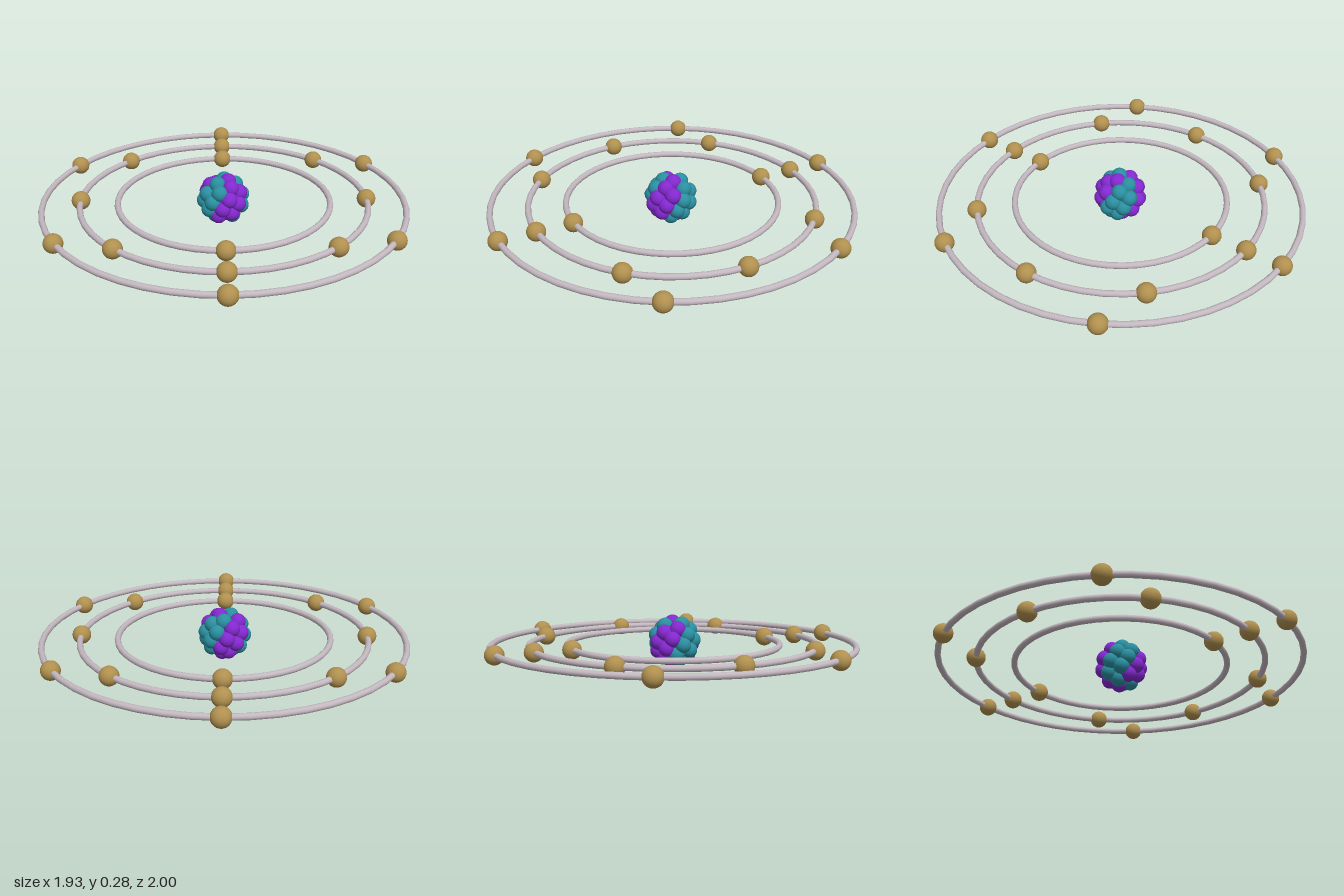
import * as THREE from 'three';

const material = (color) => new THREE.MeshStandardMaterial({ color });

export function createModel() {
  const model = new THREE.Group();
  model.name = 'atomModel';
  const ringMat = material(0xc4b8c0);
  const electronMat = material(0xb0904f);
  const nucleonMats = { proton: material(0x8428d0), neutron: material(0x2a8fa0) };

  // Flat orbit rings, each carrying evenly spaced electrons
  const orbitY = 0.13;
  const electronGeo = new THREE.SphereGeometry(0.049, 32, 20);
  const orbits = [
    { name: 'innerOrbit', radius: 0.56, electrons: 2 },
    { name: 'middleOrbit', radius: 0.756, electrons: 8 },
    { name: 'outerOrbit', radius: 0.951, electrons: 6 },
  ];
  for (const { name, radius, electrons } of orbits) {
    const orbit = new THREE.Group();
    orbit.name = name;
    orbit.position.y = orbitY;
    const ring = new THREE.Mesh(new THREE.TorusGeometry(radius, 0.016, 12, 48), ringMat);
    ring.name = 'orbitRing';
    ring.rotation.x = Math.PI / 2;
    orbit.add(ring);
    for (let i = 0; i < electrons; i++) {
      const a = (i / electrons) * Math.PI * 2;
      const electron = new THREE.Mesh(electronGeo, electronMat);
      electron.name = 'electron';
      electron.position.set(Math.sin(a) * radius, 0, Math.cos(a) * radius);
      orbit.add(electron);
    }
    model.add(orbit);
  }

  // Nucleus: protons and neutrons packed over a small ball by the golden angle
  const nucleus = new THREE.Group();
  nucleus.name = 'nucleus';
  nucleus.position.set(-0.003, 0.141, 0.005);
  const nucleonGeo = new THREE.SphereGeometry(0.043, 24, 16);
  const count = 32;
  const shell = 0.098;
  const goldenAngle = Math.PI * (3 - Math.sqrt(5));
  for (let i = 0; i < count; i++) {
    const y = 1 - (2 * i + 1) / count;
    const r = Math.sqrt(1 - y * y);
    const a = i * goldenAngle;
    const kind = i % 4 === 0 || i % 4 === 3 ? 'proton' : 'neutron';
    const nucleon = new THREE.Mesh(nucleonGeo, nucleonMats[kind]);
    nucleon.name = kind;
    nucleon.position.set(Math.cos(a) * r, y, Math.sin(a) * r).multiplyScalar(shell);
    nucleus.add(nucleon);
  }
  model.add(nucleus);
  return model;
}
